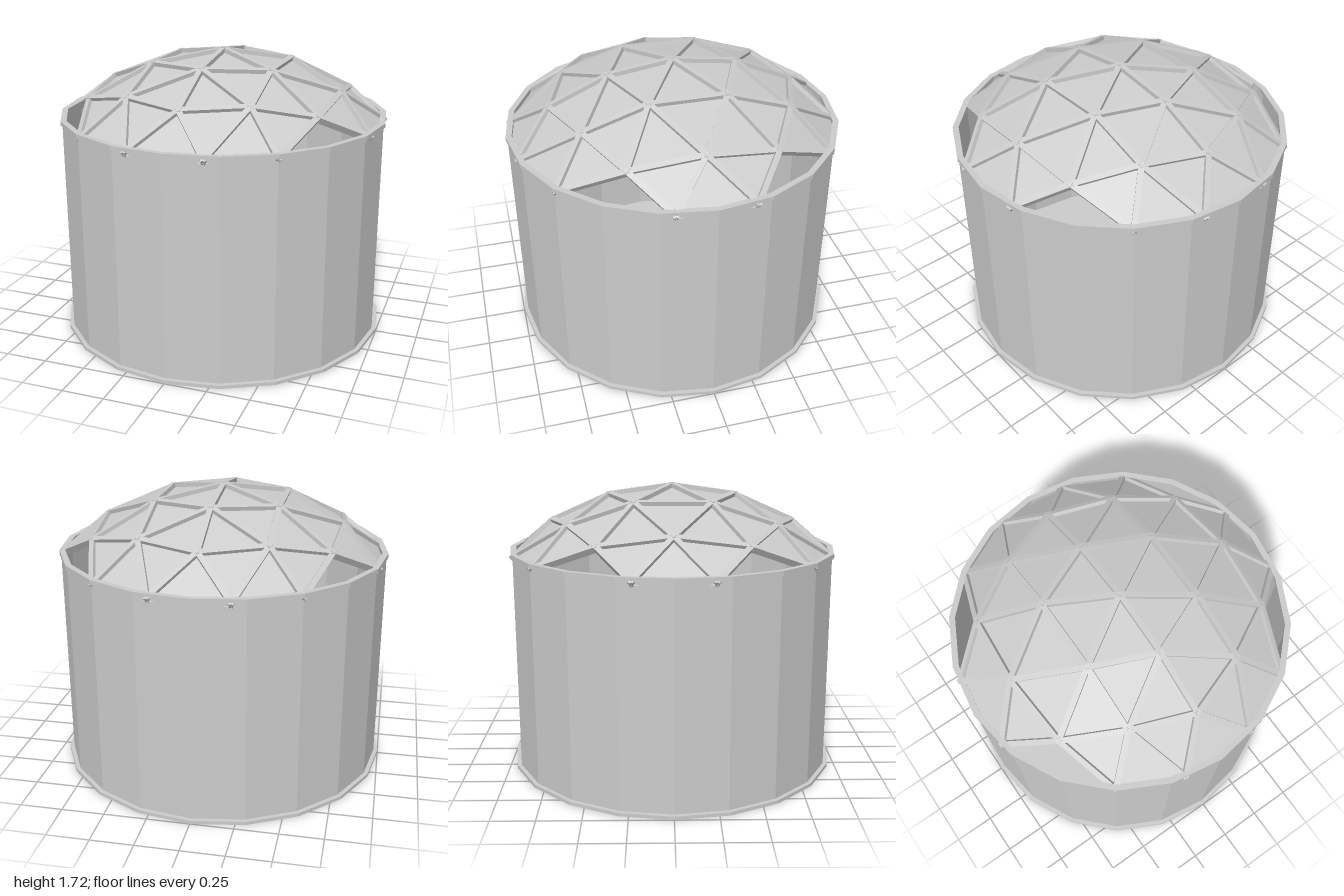
import * as THREE from 'three';

const SIDES = 20;
const APEX = 1.71, DOME_R = 1.376; // dome lies on a sphere cap

export function createModel() {
  const model = new THREE.Group();
  const metal = new THREE.MeshStandardMaterial({ color: 0xcccccc, flatShading: true });
  const sheet = new THREE.MeshStandardMaterial({ color: 0xcccccc, flatShading: true, side: THREE.DoubleSide });

  const add = (parent, name, geometry, material = metal) => {
    const mesh = new THREE.Mesh(geometry, material);
    mesh.name = name;
    parent.add(mesh);
    return mesh;
  };

  // Base plate and open tank wall
  add(model, 'basePlate', new THREE.CylinderGeometry(1, 1, 0.02, SIDES)).position.y = 0.01;
  add(model, 'tankWall', new THREE.CylinderGeometry(0.975, 0.975, 1.3, SIDES, 1, true), sheet).position.y = 0.67;

  // Flat ring around the top of the wall
  const polygon = (r) => Array.from({ length: SIDES }, (_, i) => {
    const a = (i / SIDES) * Math.PI * 2;
    return new THREE.Vector2(r * Math.cos(a), r * Math.sin(a));
  });
  const ring = new THREE.Shape(polygon(0.985));
  ring.holes.push(new THREE.Path(polygon(0.95).reverse()));
  const ringGeometry = new THREE.ExtrudeGeometry(ring, { depth: 0.026, bevelEnabled: false });
  ringGeometry.rotateX(-Math.PI / 2);
  add(model, 'topRing', ringGeometry).position.y = 1.304;

  // Dome nodes: one quarter, mirrored in x and z
  const quarter = [
    [0, 0], [0, 0.38], [0.363, 0.222],
    [0.725, 0], [0.363, 0.6], [0, 0.73], [0.69, 0.42],
    [0.222, 0.947, true], [0.573, 0.787, true], [0.947, 0.222, true],
  ];
  const nodes = [];
  for (const [x, z, rim = false] of quarter) {
    for (const sx of x ? [1, -1] : [1]) {
      for (const sz of z ? [1, -1] : [1]) {
        const y = APEX - DOME_R + Math.sqrt(DOME_R ** 2 - x * x - z * z);
        nodes.push({ p: new THREE.Vector3(x * sx, y, z * sz), rim });
      }
    }
  }
  const near = (a, b) => Math.hypot(a.p.x - b.p.x, a.p.z - b.p.z) < 0.5;

  // Struts join neighbouring nodes, except along the rim
  const struts = new THREE.Group();
  struts.name = 'domeStruts';
  const panels = new THREE.Group();
  panels.name = 'domePanels';
  model.add(struts, panels);
  const centre = new THREE.Vector3(0, APEX - DOME_R, 0);

  nodes.forEach((a, i) => {
    for (let j = i + 1; j < nodes.length; j++) {
      const b = nodes[j];
      if (!near(a, b)) continue;
      if (!(a.rim && b.rim)) {
        const mid = a.p.clone().add(b.p).multiplyScalar(0.5);
        const normal = mid.clone().sub(centre).normalize();
        const strut = add(struts, 'strut', new THREE.BoxGeometry(0.032, 0.04, a.p.distanceTo(b.p) + 0.015));
        strut.up.copy(normal);
        strut.position.copy(mid).addScaledVector(normal, -0.016);
        strut.lookAt(b.p.clone().addScaledVector(normal, -0.016));
      }
      // Triangular panels set just below the strut tops
      for (let k = j + 1; k < nodes.length; k++) {
        const c = nodes[k];
        if (!near(a, c) || !near(b, c)) continue;
        const corners = [a.p, b.p, c.p].map((p) => p.clone());
        const n = new THREE.Vector3().crossVectors(
          corners[1].clone().sub(corners[0]), corners[2].clone().sub(corners[0]));
        if (n.y < 0) corners.reverse();
        const geometry = new THREE.BufferGeometry().setFromPoints(corners);
        geometry.translate(0, -0.02, 0);
        geometry.computeVertexNormals();
        add(panels, 'panel', geometry, sheet);
      }
    }
  });

  return model;
}
